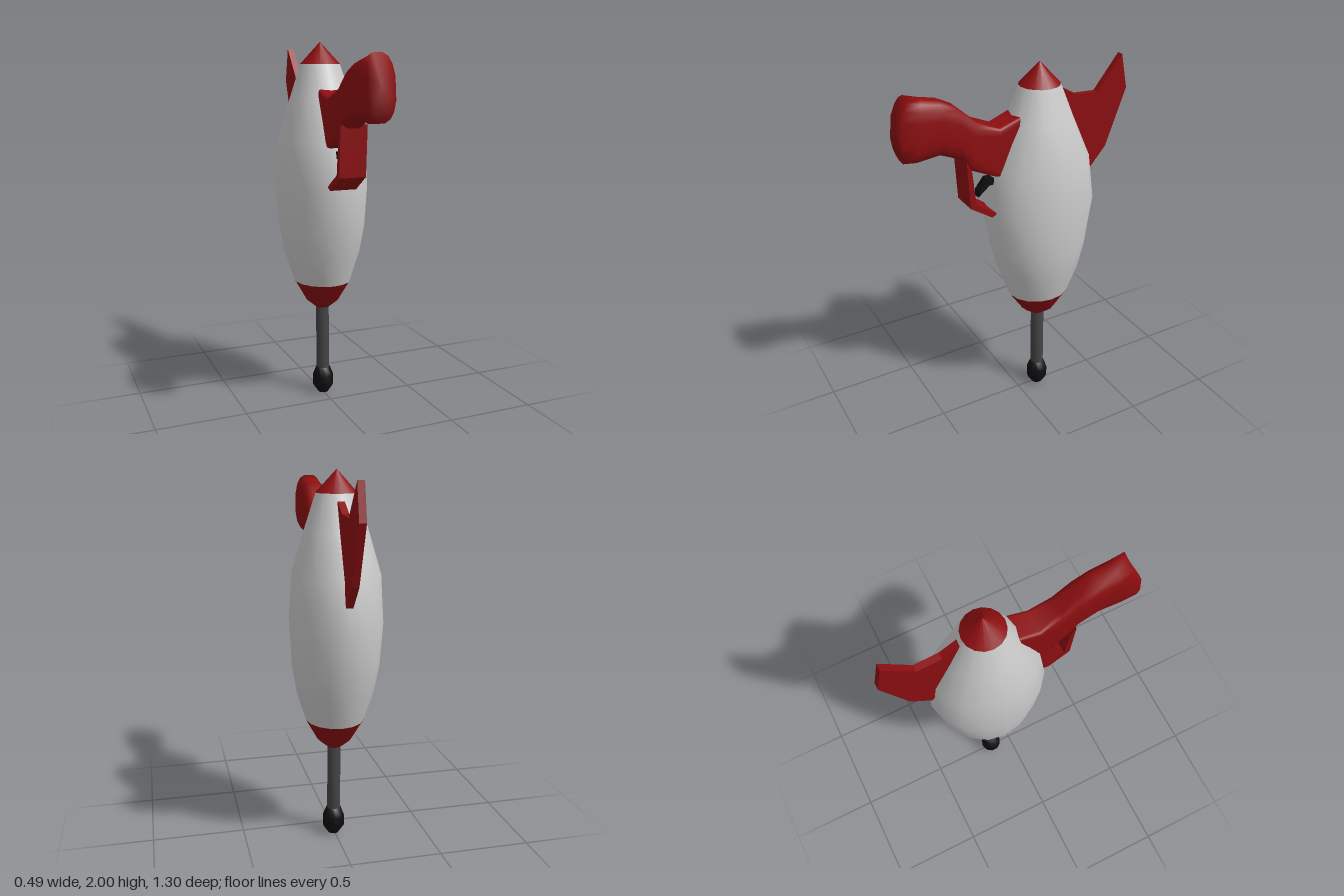
import * as THREE from 'three';

const mat = (name, color) => Object.assign(new THREE.MeshStandardMaterial({ color }), { name });

// Skin over closed rings of points, optionally fanned shut at the last ring.
function loft(rings, tip) {
  const n = rings[0].length, pos = rings.flat(2), idx = [];
  for (let i = 0; i < rings.length - 1; i++) {
    for (let j = 0; j < n; j++) {
      const a = i * n + j, b = i * n + (j + 1) % n;
      idx.push(a, b, a + n, b, b + n, a + n);
    }
  }
  if (tip) {
    const c = pos.length / 3, s = (rings.length - 1) * n;
    pos.push(...tip);
    for (let j = 0; j < n; j++) idx.push(s + j, s + (j + 1) % n, c);
  }
  const g = new THREE.BufferGeometry();
  g.setAttribute('position', new THREE.Float32BufferAttribute(pos, 3));
  g.setIndex(idx);
  g.computeVertexNormals();
  return g;
}

// Rows of [y, half width in x, half depth in z] around the slightly leaning axis.
function hull(rows, sides = 16) {
  return loft(rows.map(([y, rx, rz]) => Array.from({ length: sides }, (_, j) => {
    const a = j / sides * Math.PI * 2;
    return [0.005 - 0.0075 * y + rx * Math.sin(a), y, -0.127 + rz * Math.cos(a)];
  })));
}

// Flat plate drawn as [z, y] points, with thickness along x.
function plate(points, width, cx) {
  const shape = new THREE.Shape(points.map(([z, y]) => new THREE.Vector2(z, y)));
  const g = new THREE.ExtrudeGeometry(shape, { depth: width, bevelEnabled: false });
  return g.rotateY(-Math.PI / 2).translate(cx + width / 2, 0, 0);
}

export function createModel() {
  const group = new THREE.Group();
  const red = mat('red', 0x8c0e10), white = mat('lightGrey', 0xcacaca);
  const steel = mat('darkGrey', 0x444444), black = mat('black', 0x0e0e0e);
  const add = (name, geometry, material) => {
    const m = new THREE.Mesh(geometry, material);
    m.name = name;
    group.add(m);
  };

  // Rocket-shaped body with red ends
  add('body', hull([
    [0.685, 0.157, 0.176], [0.85, 0.208, 0.237], [1.0, 0.233, 0.275], [1.23, 0.245, 0.313],
    [1.48, 0.23, 0.278], [1.7, 0.165, 0.182], [1.885, 0.107, 0.108],
  ]), white);
  add('tailCone', hull([[1.885, 0.107, 0.108], [2, 0.0005, 0.0005]]), red);
  add('noseCap', hull([
    [0.525, 0.0005, 0.0005], [0.526, 0.04, 0.045], [0.57, 0.093, 0.1], [0.685, 0.157, 0.176],
  ]), red);

  // Barrel and muzzle
  add('barrel', hull([[0.14, 0.037, 0.037], [0.54, 0.037, 0.037]], 12), steel);
  add('muzzle', hull([
    [0, 0.0005, 0.0005], [0.001, 0.03, 0.03], [0.045, 0.06, 0.06], [0.105, 0.06, 0.06],
    [0.155, 0.04, 0.04], [0.156, 0.0005, 0.0005],
  ], 10), black);

  // Grip: rows of bottom [z, y], top [z, y], squareness power, outward bulge
  const grip = [
    [0.08, 1.45, 0.02, 1.755, 0.15, 0],
    [0.155, 1.46, 0.13, 1.715, 0.2, 0],
    [0.285, 1.515, 0.25, 1.77, 0.45, 0],
    [0.33, 1.58, 0.35, 1.86, 0.6, 0],
    [0.44, 1.625, 0.43, 1.9, 0.65, 0],
    [0.56, 1.61, 0.52, 1.92, 0.65, 0.02],
    [0.628, 1.618, 0.59, 1.94, 0.65, 0.036],
  ].map(([zb, yb, zt, yt, p, bulge]) => Array.from({ length: 16 }, (_, j) => {
    const a = (j + 0.5) / 16 * Math.PI * 2;
    const power = (v) => Math.sign(v) * Math.abs(v) ** p;
    const u = 0.5 + 0.5 * power(Math.sin(a));
    const z = zb + (zt - zb) * u + bulge * 4 * u * (1 - u);
    return [-0.007 - 0.016 * z + 0.0725 * power(Math.cos(a)), yb + (yt - yb) * u, z];
  }));
  add('grip', loft(grip, [-0.017, 1.775, 0.648]), red);

  // Trigger guard strap and trigger
  add('triggerGuard', plate([
    [0.325, 1.59], [0.31, 1.325], [0.19, 1.245], [0.16, 1.26], [0.19, 1.283],
    [0.277, 1.337], [0.297, 1.53],
  ], 0.147, -0.009), red);
  add('trigger', plate([
    [0.243, 1.352], [0.235, 1.385], [0.19, 1.442], [0.12, 1.442], [0.12, 1.405],
    [0.178, 1.405],
  ], 0.05, -0.007), black);

  // Rear sight fin
  add('fin', plate([
    [-0.25, 1.85], [-0.34, 1.797], [-0.465, 1.79], [-0.61, 1.97], [-0.65, 1.785],
    [-0.535, 1.475], [-0.43, 1.355], [-0.36, 1.45], [-0.22, 1.8],
  ], 0.036, -0.003), red);

  return group;
}
